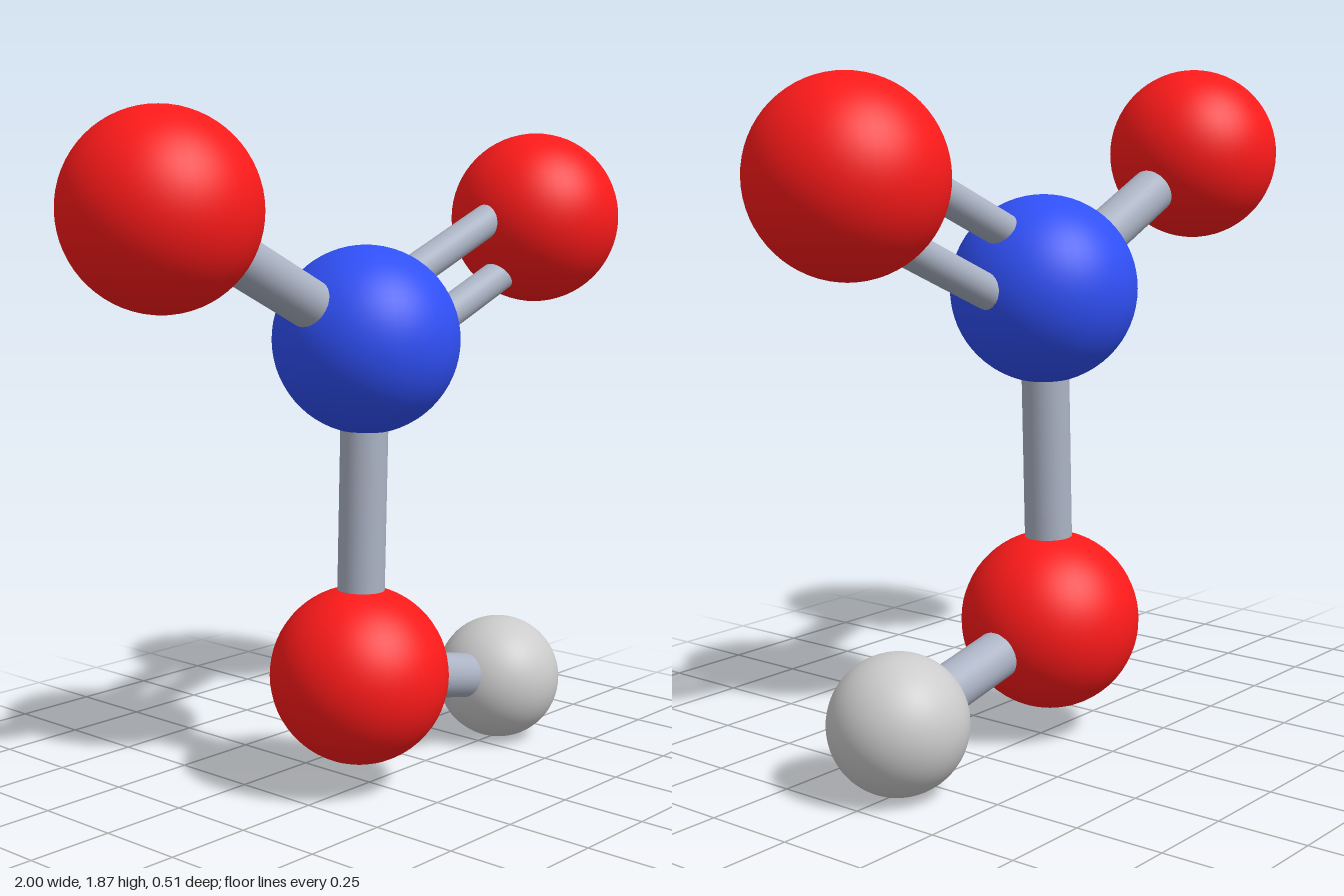
import * as THREE from 'three';

const material = (color) => new THREE.MeshStandardMaterial({ color });

export function createModel() {
  const group = new THREE.Group();
  const red = material(0xff1a1a);
  const blue = material(0x3050f8);
  const grey = material(0xcccccc);
  const steel = material(0xabb3c4);

  // Ball at a point in the z = 0 plane
  function addAtom(name, x, y, radius, mat) {
    const mesh = new THREE.Mesh(new THREE.SphereGeometry(radius, 48, 32), mat);
    mesh.name = name;
    mesh.position.set(x, y, 0);
    group.add(mesh);
    return mesh.position;
  }

  // Rod between two balls, optionally shifted sideways in the plane
  function addBond(name, a, b, radius, offset = 0) {
    const dir = b.clone().sub(a);
    const length = dir.length();
    dir.normalize();
    const mesh = new THREE.Mesh(new THREE.CylinderGeometry(radius, radius, length, 32), steel);
    mesh.name = name;
    mesh.position.copy(a).add(b).multiplyScalar(0.5);
    mesh.position.add(new THREE.Vector3(-dir.y, dir.x, 0).multiplyScalar(offset));
    mesh.quaternion.setFromUnitVectors(new THREE.Vector3(0, 1, 0), dir);
    group.add(mesh);
  }

  // Atoms
  const nitrogen = addAtom('nitrogenAtom', -0.013, 1.26, 0.257, blue);
  const rightOxygen = addAtom('rightOxygenAtom', -0.75, 1.62, 0.25, red);
  const leftOxygen = addAtom('leftOxygenAtom', 0.75, 1.575, 0.25, red);
  const lowerOxygen = addAtom('lowerOxygenAtom', -0.042, 0.326, 0.25, red);
  const hydrogen = addAtom('hydrogenAtom', 0.594, 0.185, 0.185, grey);

  // Single bonds
  addBond('rightBond', nitrogen, rightOxygen, 0.066);
  addBond('lowerBond', nitrogen, lowerOxygen, 0.066);
  addBond('hydrogenBond', lowerOxygen, hydrogen, 0.066);

  // Double bond
  for (const side of [1, -1]) {
    addBond(side > 0 ? 'doubleBondUpper' : 'doubleBondLower', nitrogen, leftOxygen, 0.047, side * 0.086);
  }

  return group;
}
